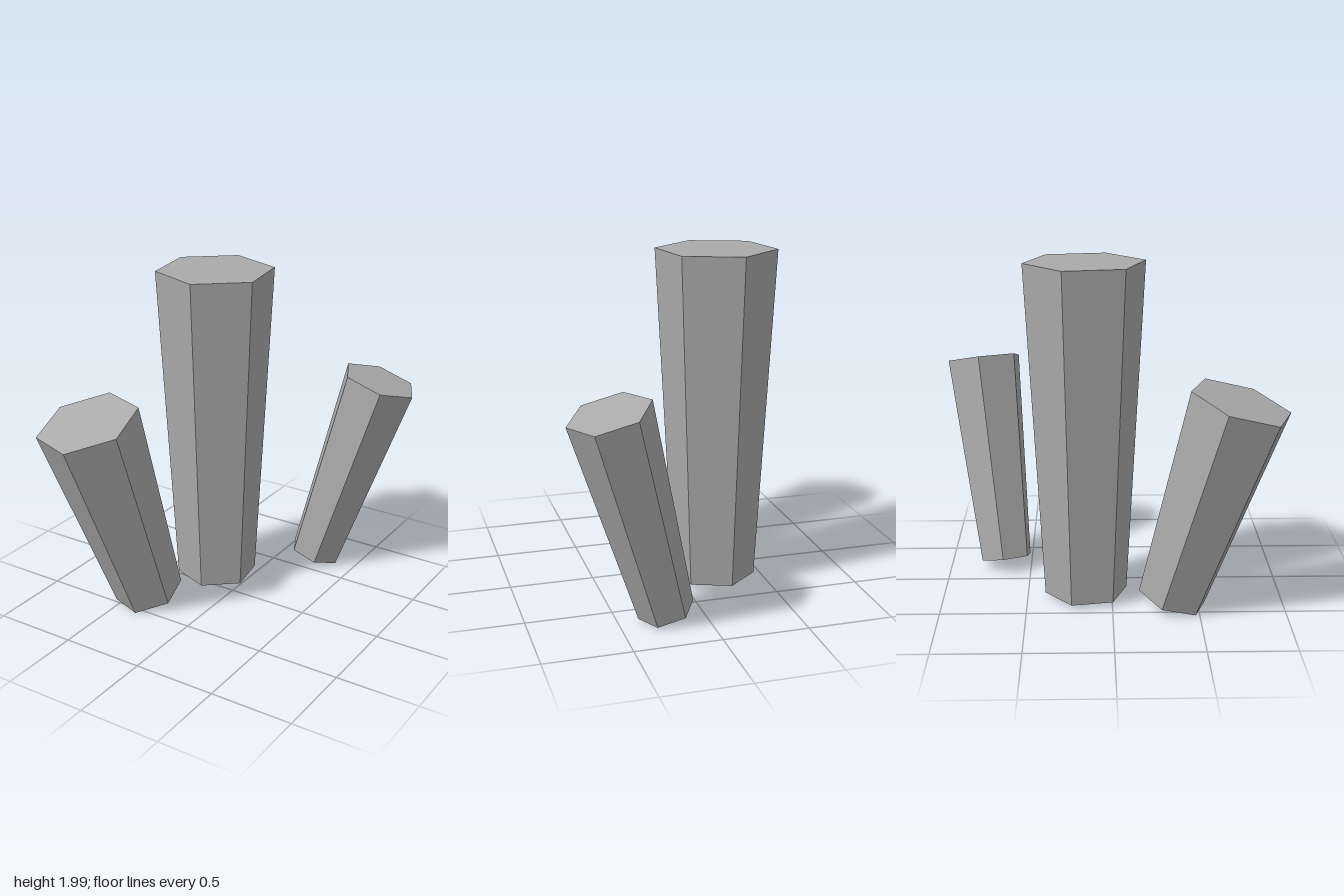
import * as THREE from 'three';

const stone = new THREE.MeshStandardMaterial({ color: 0xaaaaaa, flatShading: true, side: THREE.DoubleSide });
stone.name = 'grey stone';

// Six-sided shaft, open at the foot and capped on top, widening from bottom to top.
// 'corner' is the direction from the axis to one of its corners.
function shaft(name, bottom, top, bottomRadius, topRadius, corner) {
  const foot = new THREE.Vector3(...bottom);
  const axis = new THREE.Vector3(...top).sub(foot);
  const length = axis.length();
  axis.normalize();

  const profile = [
    new THREE.Vector2(bottomRadius, 0),
    new THREE.Vector2(topRadius, length),
    new THREE.Vector2(0, length),
  ];
  const mesh = new THREE.Mesh(new THREE.LatheGeometry(profile, 6), stone);
  mesh.name = name;

  // Lean the shaft along its axis and spin it to its corner direction
  const side = new THREE.Vector3().crossVectors(axis, new THREE.Vector3(...corner)).normalize();
  const front = new THREE.Vector3().crossVectors(side, axis);
  mesh.quaternion.setFromRotationMatrix(new THREE.Matrix4().makeBasis(side, axis, front));
  mesh.position.copy(foot);
  return mesh;
}

export function createModel() {
  const group = new THREE.Group();
  group.name = 'crystalCluster';
  group.add(
    shaft('tallCrystal', [-0.217, 0.028, -0.153], [-0.217, 2, -0.153], 0.245, 0.35, [0.058, 0, 0.345]),
    shaft('frontCrystal', [-0.39, 0.06, 0.35], [-0.517, 1.27, 0.708], 0.207, 0.3, [0.057, -0.08, 0.282]),
    shaft('backCrystal', [0.225, 0.058, -0.655], [0.565, 1.27, -0.79], 0.163, 0.237, [0.105, -0.005, 0.21]),
  );
  return group;
}
